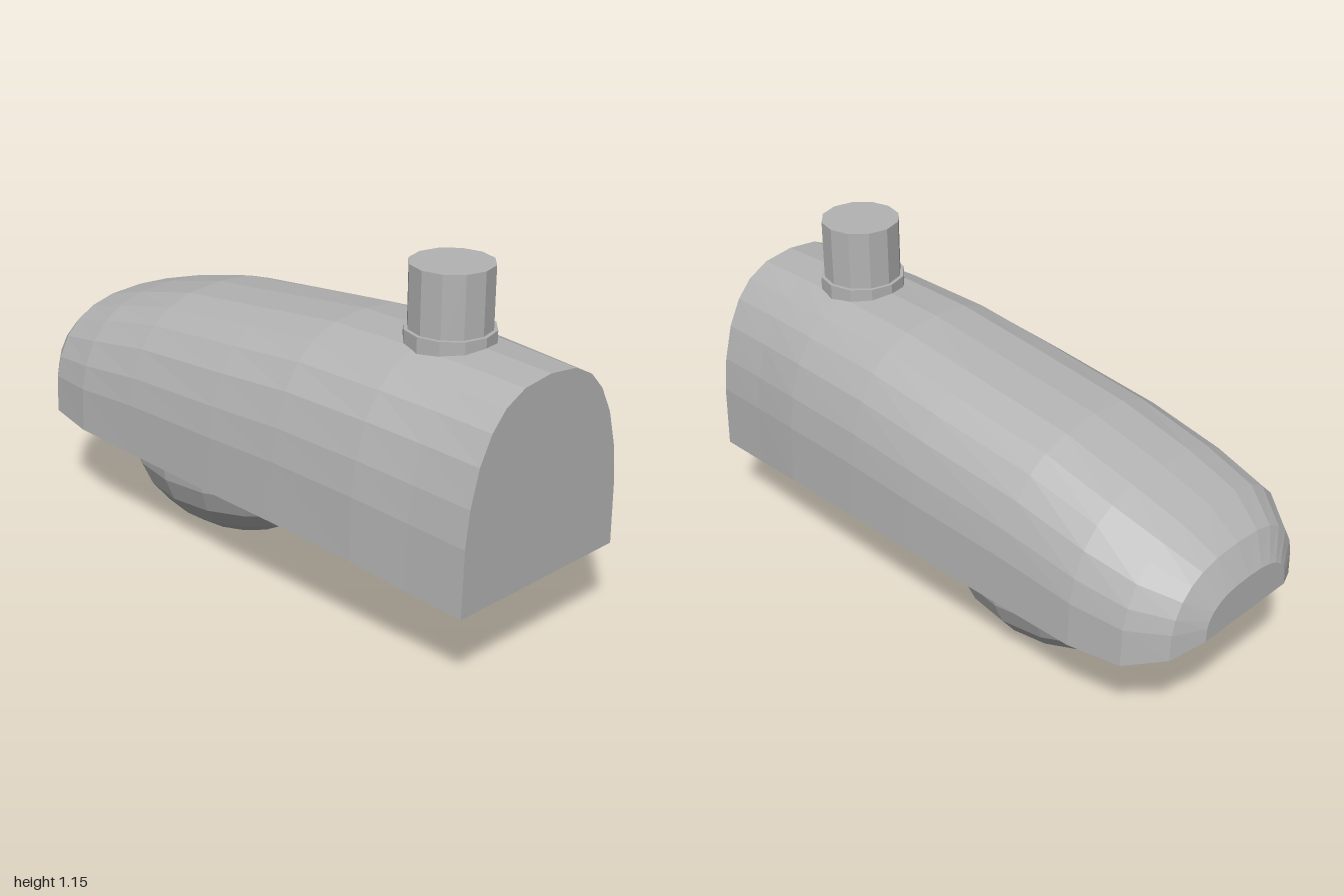
import * as THREE from 'three';

// Half arch, from the lower edge to the crown: [fraction of half width, fraction of height]
const ARCH = [[1, 0], [0.985, 0.335], [0.94, 0.515], [0.845, 0.695], [0.71, 0.83], [0.55, 0.92], [0.325, 0.98], [0, 1]];

// Stations along the housing: [z, half width, bottom, top]
const STATIONS = [
  [1, 0.335, 0.28, 0.922], [0.8, 0.352, 0.296, 0.928], [0.6, 0.375, 0.32, 0.931],
  [0.28, 0.392, 0.333, 0.923], [0, 0.4, 0.335, 0.889], [-0.4, 0.4, 0.335, 0.84],
  [-0.66, 0.4, 0.335, 0.776], [-0.84, 0.375, 0.345, 0.72], [-0.95, 0.29, 0.375, 0.64],
  [-1, 0.19, 0.415, 0.545],
];

// Flat facets: every face gets its own normal
function faceted(geometry) {
  const g = geometry.index ? geometry.toNonIndexed() : geometry;
  g.computeVertexNormals();
  return g;
}

// Loft the arch through all stations and close both ends
function housingGeometry() {
  const mirrored = ARCH.slice(0, -1).reverse().map(([x, y]) => [-x, y]);
  const ring = [...ARCH, ...mirrored];
  const n = ring.length;
  const positions = [];
  const index = [];
  for (const [z, w, bottom, top] of STATIONS) {
    for (const [x, y] of ring) positions.push(x * w, bottom + y * (top - bottom), z);
  }
  for (let i = 0; i < STATIONS.length - 1; i++) {
    for (let j = 0; j < n; j++) {
      const a = i * n + j;
      const b = i * n + (j + 1) % n;
      index.push(a, a + n, b, b, a + n, b + n);
    }
  }
  const last = (STATIONS.length - 1) * n;
  for (let j = 1; j < n - 1; j++) {
    index.push(0, j, j + 1);
    index.push(last, last + j + 1, last + j);
  }
  const g = new THREE.BufferGeometry();
  g.setAttribute('position', new THREE.Float32BufferAttribute(positions, 3));
  g.setIndex(index);
  return faceted(g);
}

export function createModel() {
  const group = new THREE.Group();
  group.name = 'streetLampHead';
  const grey = new THREE.MeshStandardMaterial({ color: 0xb3b3b3 });
  grey.name = 'grey';

  const add = (name, geometry, x, y, z) => {
    const mesh = new THREE.Mesh(faceted(geometry), grey);
    mesh.name = name;
    mesh.position.set(x, y, z);
    group.add(mesh);
    return mesh;
  };

  add('housing', housingGeometry(), 0, 0, 0);

  // Oval lamp bowl: lower half of a stretched sphere
  const bowl = new THREE.SphereGeometry(1, 16, 6, 0, Math.PI * 2, Math.PI / 2, Math.PI / 2);
  bowl.scale(0.345, 0.335, 0.427);
  add('lampBowl', bowl, 0, 0.337, -0.303);

  // Socket on top with its collar
  add('collar', new THREE.CylinderGeometry(0.14, 0.14, 0.08, 12), 0, 0.92, 0.625);
  add('socket', new THREE.CylinderGeometry(0.128, 0.128, 0.255, 12), 0, 1.0275, 0.625);

  // Latch under the tail
  add('latch', new THREE.BoxGeometry(0.15, 0.08, 0.11), 0, 0.342, -0.825);

  return group;
}
